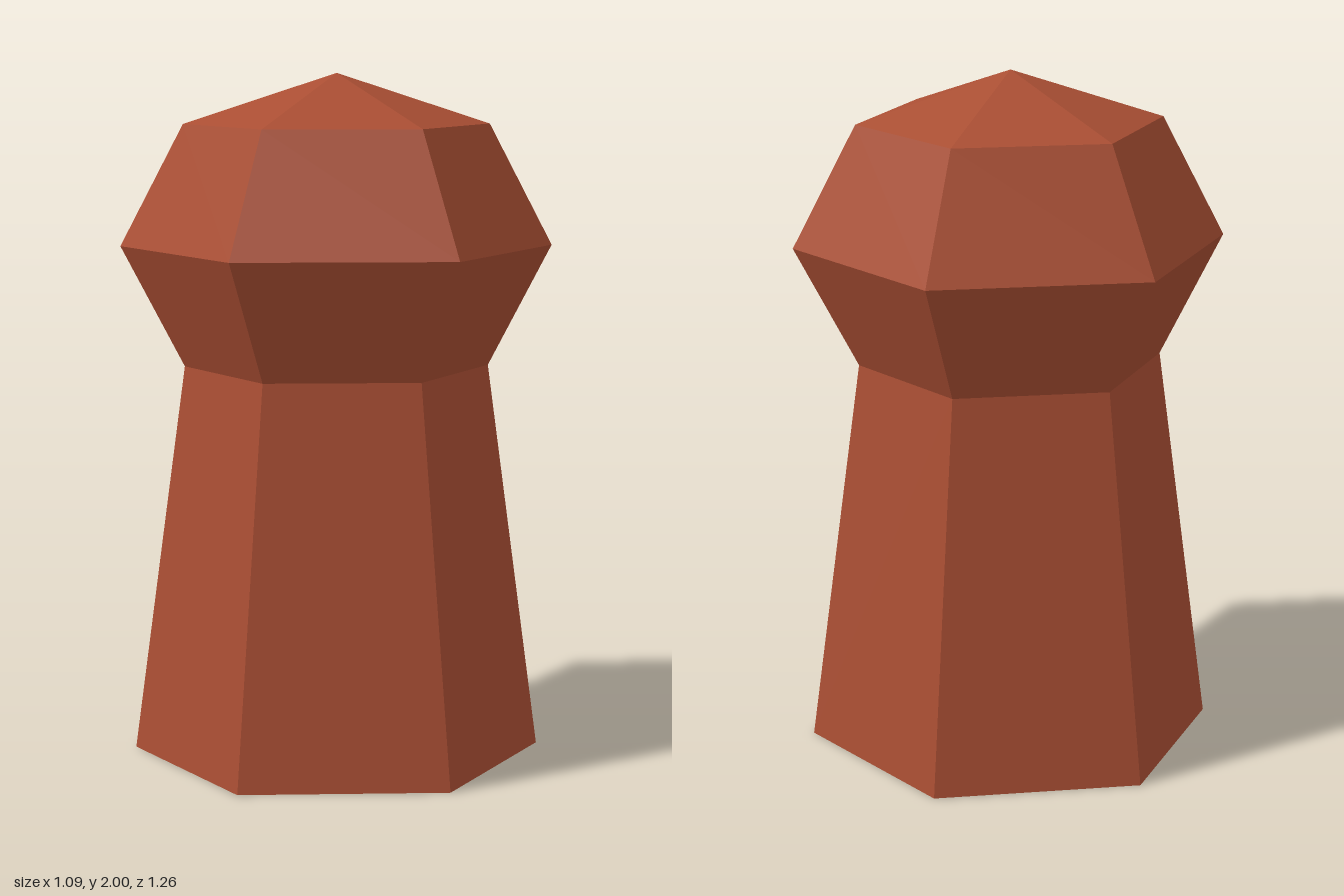
import * as THREE from 'three';

const SIDES = 6;

export function createModel() {
  const group = new THREE.Group();
  group.name = 'post';

  const clay = new THREE.MeshStandardMaterial({ color: 0xa94e33, flatShading: true });
  clay.name = 'terracotta';

  // Tapered hexagonal shaft, closed at the base
  const shaft = new THREE.Mesh(new THREE.CylinderGeometry(0.445, 0.6, 1.15, SIDES), clay);
  shaft.name = 'shaft';
  shaft.position.y = 0.575;
  group.add(shaft);

  // Faceted, slightly squashed ball on top, turned from a half-circle profile
  const radius = 0.63, halfHeight = 0.5, rings = 4;
  const profile = [];
  for (let i = 0; i <= rings; i++) {
    const a = (i / rings) * Math.PI;
    const r = i % rings === 0 ? 0 : radius * Math.sin(a);
    profile.push(new THREE.Vector2(r, -halfHeight * Math.cos(a)));
  }
  const head = new THREE.Mesh(new THREE.LatheGeometry(profile, SIDES), clay);
  head.name = 'head';
  head.position.y = 1.5;
  group.add(head);

  return group;
}
